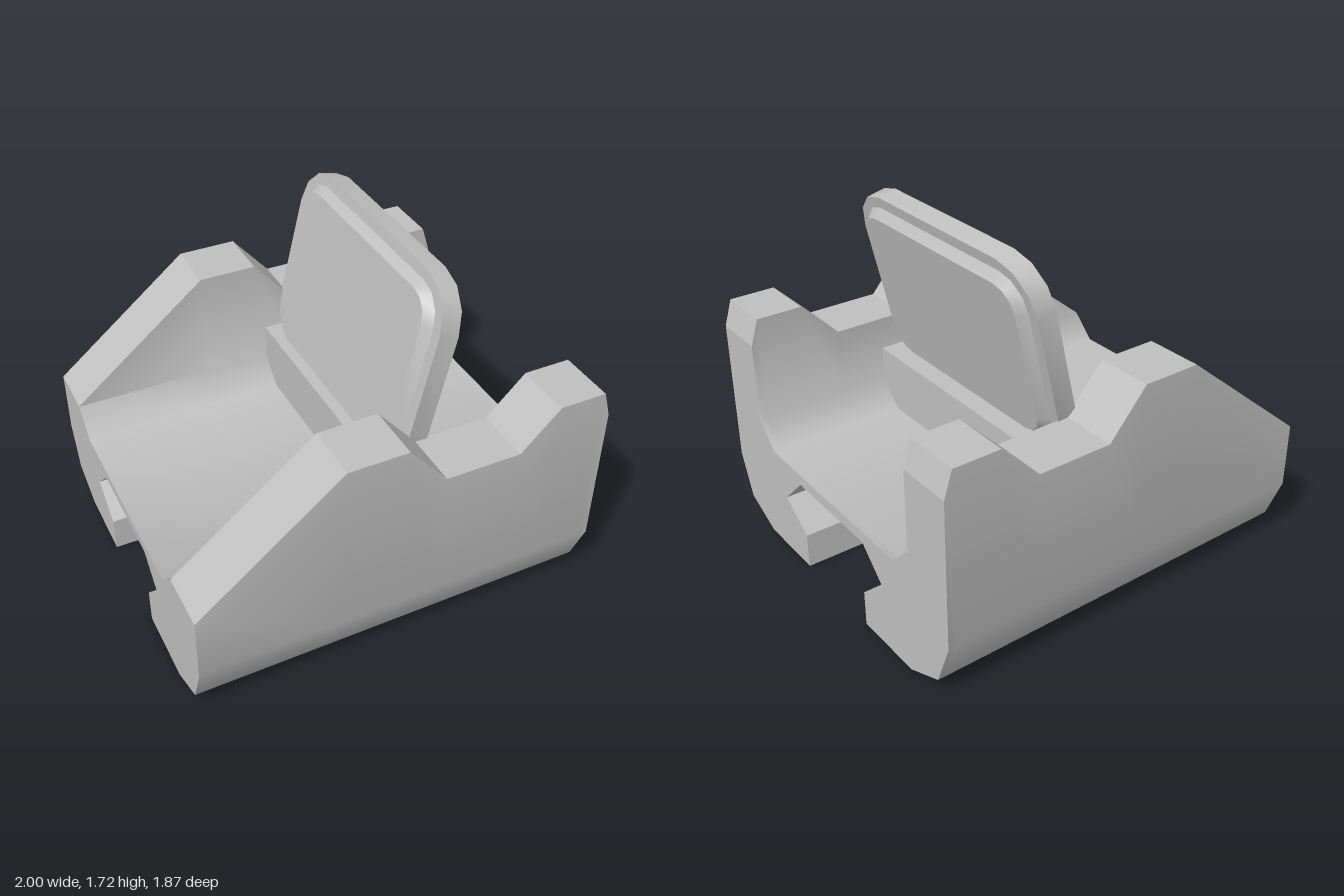
import * as THREE from 'three';
import { mergeGeometries, toCreasedNormals } from 'three/addons/utils/BufferGeometryUtils.js';

// Skin between outlines. Each ring is { x, pts: [[z, y], ...] }, counter-clockwise in (z, y).
function skin(rings, keepEdge, crease) {
  const pos = [];
  for (let r = 0; r < rings.length - 1; r++) {
    const A = rings[r], B = rings[r + 1], n = A.pts.length;
    for (let i = 0; i < n; i++) {
      if (!keepEdge(i)) continue;
      const j = (i + 1) % n;
      const v = (ring, k) => [ring.x, ring.pts[k][1], ring.pts[k][0]];
      pos.push(...v(A, i), ...v(B, i), ...v(A, j), ...v(B, i), ...v(B, j), ...v(A, j));
    }
  }
  return creased(pos, crease);
}

// Flat end face of a ring
function cap(ring, flip) {
  const contour = ring.pts.map(([z, y]) => new THREE.Vector2(z, y));
  const pos = [];
  for (const f of THREE.ShapeUtils.triangulateShape(contour, [])) {
    for (const k of flip ? [f[0], f[2], f[1]] : f) pos.push(ring.x, contour[k].y, contour[k].x);
  }
  return creased(pos, 0.1);
}

function creased(pos, angle) {
  const g = new THREE.BufferGeometry();
  g.setAttribute('position', new THREE.Float32BufferAttribute(pos, 3));
  return toCreasedNormals(g, angle);
}

const ends = (rings) => [cap(rings[0], false), cap(rings[rings.length - 1], true)];
const mirrored = (half) => [...half, ...half.map(([z, y]) => [-z, y]).reverse()];

// Rounded rectangle outline with three facets per corner
function roundedRect(hw, hh, r, steps = 3) {
  const pts = [];
  for (let c = 0; c < 4; c++) {
    const sz = c === 0 || c === 3 ? 1 : -1, sy = c < 2 ? 1 : -1;
    for (let k = 0; k <= steps; k++) {
      const a = (c + k / steps) * Math.PI / 2;
      pts.push([sz * (hw - r) + r * Math.cos(a), sy * (hh - r) + r * Math.sin(a)]);
    }
  }
  return pts;
}

export function createModel() {
  const model = new THREE.Group();
  const grey = new THREE.MeshStandardMaterial({ color: 0xbfbfbf });
  grey.name = 'grey';

  const add = (name, geometries) => {
    const mesh = new THREE.Mesh(mergeGeometries(geometries), grey);
    mesh.name = name;
    model.add(mesh);
    return mesh;
  };

  // Channel body with a slotted underside; the wall height changes along x
  const wallTop = [[-1, 0.642], [-0.31, 1.2], [-0.02, 1.2], [0.17, 0.98],
    [0.54, 0.98], [0.73, 1.17], [0.96, 1.17], [1, 1.04]];
  const bodyRings = wallTop.map(([x, h]) => ({
    x,
    pts: mirrored([[0.28, 0.465], [0.445, 0.305], [0.265, 0.18], [0.265, 0], [0.64, 0], [0.85, 0.095],
      [0.935, 0.315], [0.935, h], [0.655, h], [0.655, 0.64], [0.53, 0.52]]),
  }));
  const isTop = (i) => i === 7 || i === 13;
  add('body', [
    skin(bodyRings, (i) => !isTop(i), 0.85),
    skin(bodyRings, isTop, 0.3),
    ...ends(bodyRings),
  ]);

  // Cross block between the walls
  const blockRings = [0.03, 0.297].map((x) => ({
    x, pts: mirrored([[0.53, 0.52], [0.655, 0.64], [0.655, 0.815]]),
  }));
  add('crossBlock', [skin(blockRings, () => true, 0.3), ...ends(blockRings)]);

  // Tilted plate with a bevelled raised panel on both faces
  const panelTop = roundedRect(0.57, 0.383, 0.115);
  const panelBase = roundedRect(0.61, 0.421, 0.155);
  const rim = roundedRect(0.667, 0.476, 0.22);
  const plateRings = [[-0.139, panelTop], [-0.101, panelBase], [-0.101, rim],
    [-0.003, rim], [-0.003, panelBase], [0.039, panelTop]].map(([x, pts]) => ({ x, pts }));
  const plateGeometry = [skin(plateRings, () => true, 0.6), ...ends(plateRings)];
  plateGeometry.forEach((g) => g.translate(0, 1.272, 0));
  add('tiltedPlate', plateGeometry).rotation.z = -0.23;

  return model;
}
